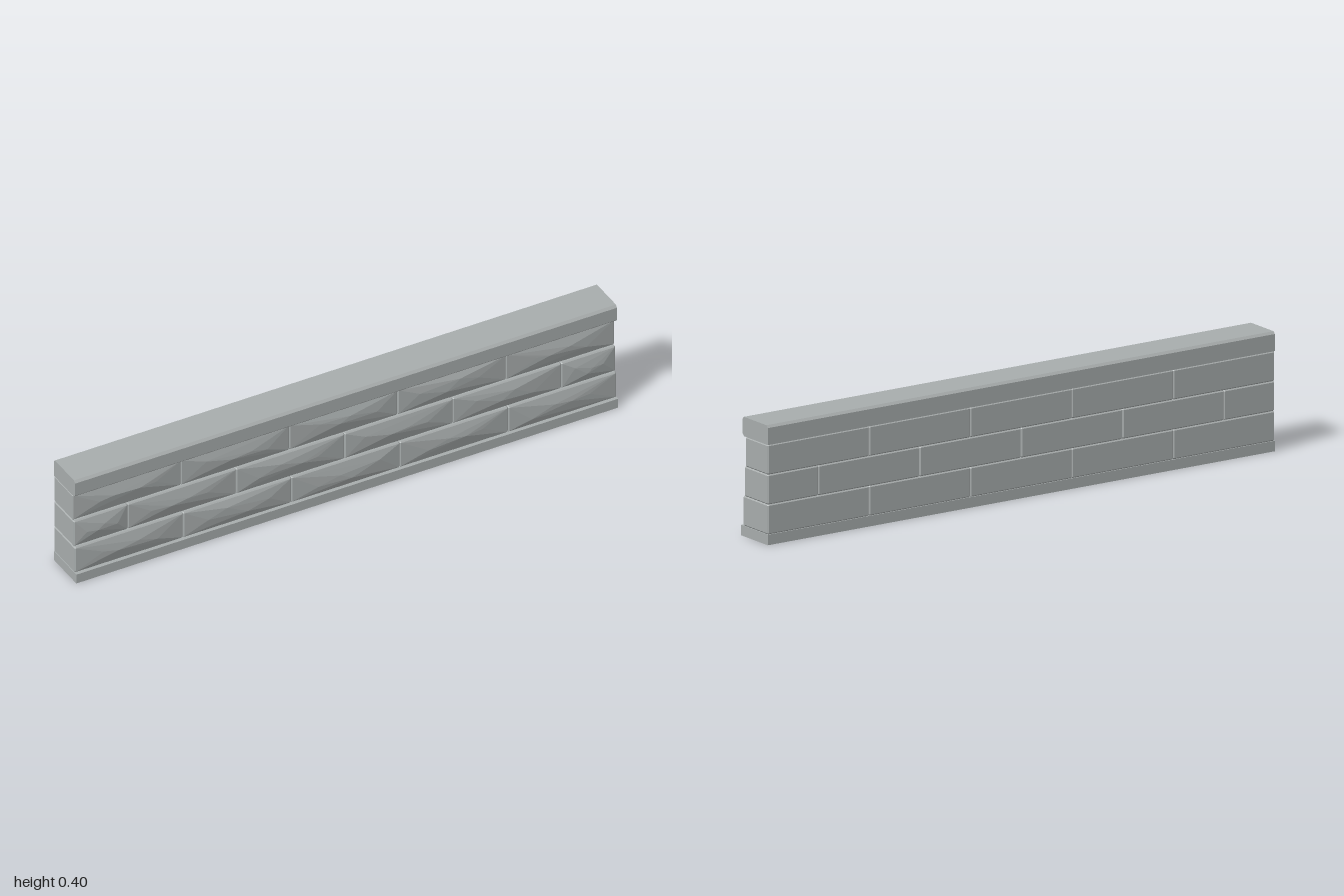
import * as THREE from 'three';
import { ConvexGeometry } from 'three/addons/geometries/ConvexGeometry.js';

const BACK = -0.075, HEIGHT = 0.1, CHAMFER = 0.004;

// small seeded generator for the rough stone faces
function seeded(seed) {
  return () => {
    seed = (seed * 16807) % 2147483647;
    return seed / 2147483647;
  };
}

// chamfered block with a faceted, bulging front
function blockGeometry(x0, x1, y0, front, rand) {
  const points = [];
  const w = x1 - x0, cx = (x0 + x1) / 2, cy = y0 + HEIGHT / 2;
  const half = [w / 2, HEIGHT / 2, (front - BACK) / 2];
  const centre = [cx, cy, (front + BACK) / 2];
  for (const sx of [-1, 1]) for (const sy of [-1, 1]) for (const sz of [-1, 1]) {
    const s = [sx, sy, sz];
    // three points per corner, each lying on one face
    for (let face = 0; face < 3; face++) {
      const p = s.map((d, i) => centre[i] + d * (half[i] - (i === face ? 0 : CHAMFER)));
      points.push(new THREE.Vector3(...p));
    }
  }
  // arched ridge of hewn peaks: along the width, up the height, outwards
  const peaks = [[-0.27, -0.01, 0.009], [-0.1, 0.012, 0.0112], [0.08, -0.008, 0.012], [0.27, 0.008, 0.0085]];
  const flip = rand() < 0.5 ? -1 : 1;
  for (const [u, v, bulge] of peaks) {
    points.push(new THREE.Vector3(
      cx + flip * w * (u + (rand() - 0.5) * 0.1),
      cy + v + (rand() - 0.5) * 0.024,
      front + bulge - rand() * 0.001));
  }
  return new ConvexGeometry(points);
}

// profile in (z, y) swept along the whole wall
function sweep(profile) {
  const shape = new THREE.Shape(profile.map(([z, y]) => new THREE.Vector2(-z, y)));
  const geo = new THREE.ExtrudeGeometry(shape, { depth: 2, bevelEnabled: false });
  geo.translate(0, 0, -1);
  geo.rotateY(Math.PI / 2);
  return geo;
}

export function createModel() {
  const wall = new THREE.Group();
  wall.name = 'stoneWall';
  const stone = new THREE.MeshStandardMaterial({ color: 0xa8adad });
  stone.name = 'grey stone';

  const add = (parent, name, geo) => {
    const mesh = new THREE.Mesh(geo, stone);
    mesh.name = name;
    parent.add(mesh);
  };

  // plinth
  const plinth = new THREE.BoxGeometry(2, 0.035, 0.15);
  plinth.translate(0, 0.0175, 0);
  add(wall, 'plinth', plinth);

  // three courses, each stepped back, with staggered joints
  const rand = seeded(4217);
  const even = [-1, -0.6, -0.2, 0.2, 0.6, 1];
  const staggered = [-1, -0.8, -0.4, 0, 0.4, 0.8, 1];
  [even, staggered, even].forEach((joints, row) => {
    const course = new THREE.Group();
    course.name = `course${row + 1}`;
    for (let i = 0; i < joints.length - 1; i++) {
      const geo = blockGeometry(joints[i], joints[i + 1], 0.035 + row * HEIGHT, 0.065 - row * 0.0073, rand);
      add(course, `block${i + 1}`, geo);
    }
    wall.add(course);
  });

  // coping with chamfered edges
  add(wall, 'coping', sweep([
    [BACK, 0.335], [BACK, 0.392], [BACK + 0.008, 0.4], [0.059, 0.4],
    [0.067, 0.392], [0.067, 0.344], [0.058, 0.335],
  ]));
  return wall;
}
